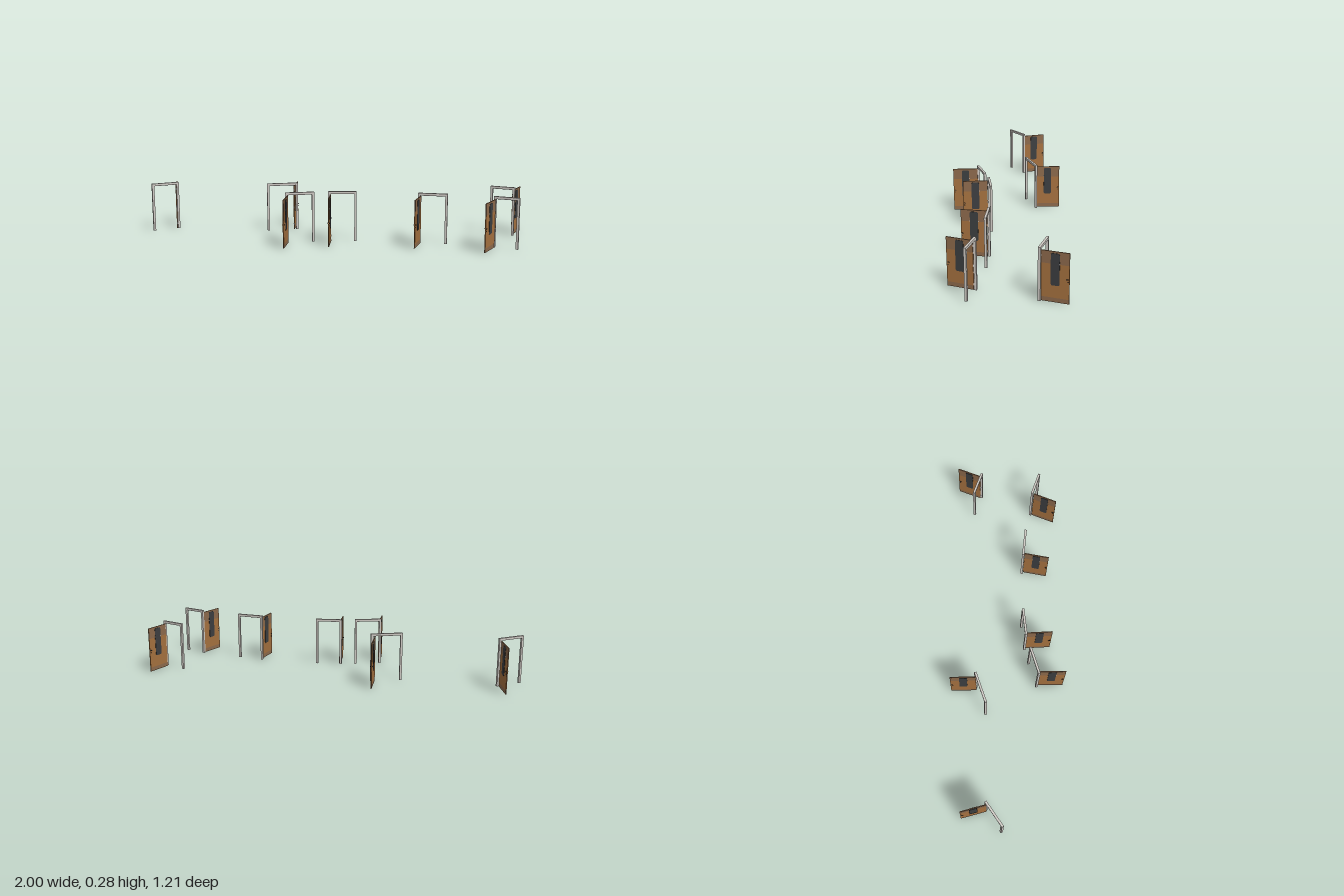
import * as THREE from 'three';

const material = (name, color) => {
  const m = new THREE.MeshStandardMaterial({ color });
  m.name = name;
  return m;
};

// Each door: frame hinge end, frame far end, leaf hinge, leaf tip, as [x, z]
const DOORS = [
  [[0.844, -0.461], [0.704, -0.442], [0.829, -0.465], [0.814, -0.605]],
  [[0.862, -0.131], [1.0, -0.151], [0.872, -0.123], [0.884, 0.019]],
  [[0.475, 0.002], [0.625, -0.056], [0.492, 0.004], [0.532, 0.141]],
  [[0.04, 0.238], [0.171, 0.152], [0.056, 0.238], [0.128, 0.361]],
  [[-0.132, 0.404], [-0.017, 0.292], [-0.118, 0.4], [-0.048, 0.53]],
  [[-0.288, 0.085], [-0.414, 0.216], [-0.307, 0.099], [-0.377, -0.029]],
  [[-0.89, 0.459], [-0.964, 0.6], [-0.901, 0.47], [-0.999, 0.363]],
];

const FRAME_H = 0.278, LEAF_H = 0.262, JAMB = 0.013, DEPTH = 0.013, THICK = 0.005;

export function createModel() {
  const model = new THREE.Group();
  model.name = 'doors';
  const metal = material('frame grey', 0xcdc8c2);
  const dark = material('dark trim', 0x262626);
  const wood = material('wood brown', 0xa5713f);
  const band = material('muted brown', 0x8d6a4c);
  const glass = material('dark glass', 0x3c3e40);
  const steel = material('pale steel', 0xe0e0e0);

  const add = (parent, name, geometry, mat, x = 0, y = 0, z = 0) => {
    const mesh = new THREE.Mesh(geometry, mat);
    mesh.name = name;
    mesh.position.set(x, y, z);
    parent.add(mesh);
  };
  const box = (parent, name, mat, w, h, d, x, y, z = 0) =>
    add(parent, name, new THREE.BoxGeometry(w, h, d), mat, x, y, z);

  // Group whose local x axis runs from a to b on the floor
  const span = (name, a, b) => {
    const group = new THREE.Group();
    const dx = b[0] - a[0], dz = b[1] - a[1];
    group.name = name;
    group.position.set(a[0], 0, a[1]);
    group.rotation.y = Math.atan2(-dz, dx);
    return [group, Math.hypot(dx, dz)];
  };

  // Upside-down U outline of the frame
  const arch = (width) => {
    const inner = width - JAMB, top = FRAME_H - JAMB;
    const shape = new THREE.Shape([
      [0, 0], [JAMB, 0], [JAMB, top], [inner, top],
      [inner, 0], [width, 0], [width, FRAME_H], [0, FRAME_H],
    ].map(([x, y]) => new THREE.Vector2(x, y)));
    return new THREE.ExtrudeGeometry(shape, { depth: DEPTH, bevelEnabled: false })
      .translate(0, 0, -DEPTH / 2);
  };

  // Tall window with cut corners, running through the leaf
  const pane = () => {
    const w = 0.022, y0 = 0.088, y1 = 0.253, c = 0.006, depth = THICK + 0.004;
    const shape = new THREE.Shape([
      [-w + c, y0], [w - c, y0], [w, y0 + c], [w, y1 - c],
      [w - c, y1], [-w + c, y1], [-w, y1 - c], [-w, y0 + c],
    ].map(([x, y]) => new THREE.Vector2(x, y)));
    return new THREE.ExtrudeGeometry(shape, { depth, bevelEnabled: false })
      .translate(0, 0, -depth / 2);
  };

  for (const [hinge, far, pivot, tip] of DOORS) {
    const door = new THREE.Group();
    door.name = 'door';
    model.add(door);

    // Frame with a thin dark seal under the header
    const [frame, width] = span('frame', hinge, far);
    door.add(frame);
    add(frame, 'frameArch', arch(width), metal);
    box(frame, 'headerSeal', dark, width - 2 * JAMB, 0.002, 0.004, width / 2, FRAME_H - JAMB - 0.001);

    // Open leaf, stacked from a lower band, a plain middle and an upper band
    const [leaf, len] = span('leaf', pivot, tip);
    door.add(leaf);
    const mid = len / 2;
    for (const [name, mat, y0, y1] of [
      ['bottomBand', band, 0, 0.023],
      ['leafPanel', wood, 0.023, 0.198],
      ['topBand', band, 0.198, LEAF_H],
    ]) box(leaf, name, mat, len, y1 - y0, THICK, mid, (y0 + y1) / 2);
    add(leaf, 'window', pane(), glass, mid);
    for (const s of [1, -1])
      box(leaf, 'windowClip', steel, 0.003, 0.006, THICK + 0.003, mid + s * 0.022, 0.2);

    // Lever handles and locks on both sides
    for (const side of [1, -1]) {
      box(leaf, 'handleStem', dark, 0.004, 0.005, 0.004, len - 0.008, 0.128, side * 0.004);
      box(leaf, 'handleLever', dark, 0.01, 0.003, 0.002, len - 0.011, 0.128, side * 0.006);
      box(leaf, 'lock', dark, 0.004, 0.006, 0.002, len - 0.008, 0.114, side * 0.003);
    }
    // Hinges
    for (const y of [0.03, 0.13, 0.235])
      add(leaf, 'hinge', new THREE.CylinderGeometry(0.003, 0.003, 0.012, 8), steel, 0, y, 0);
  }
  return model;
}
